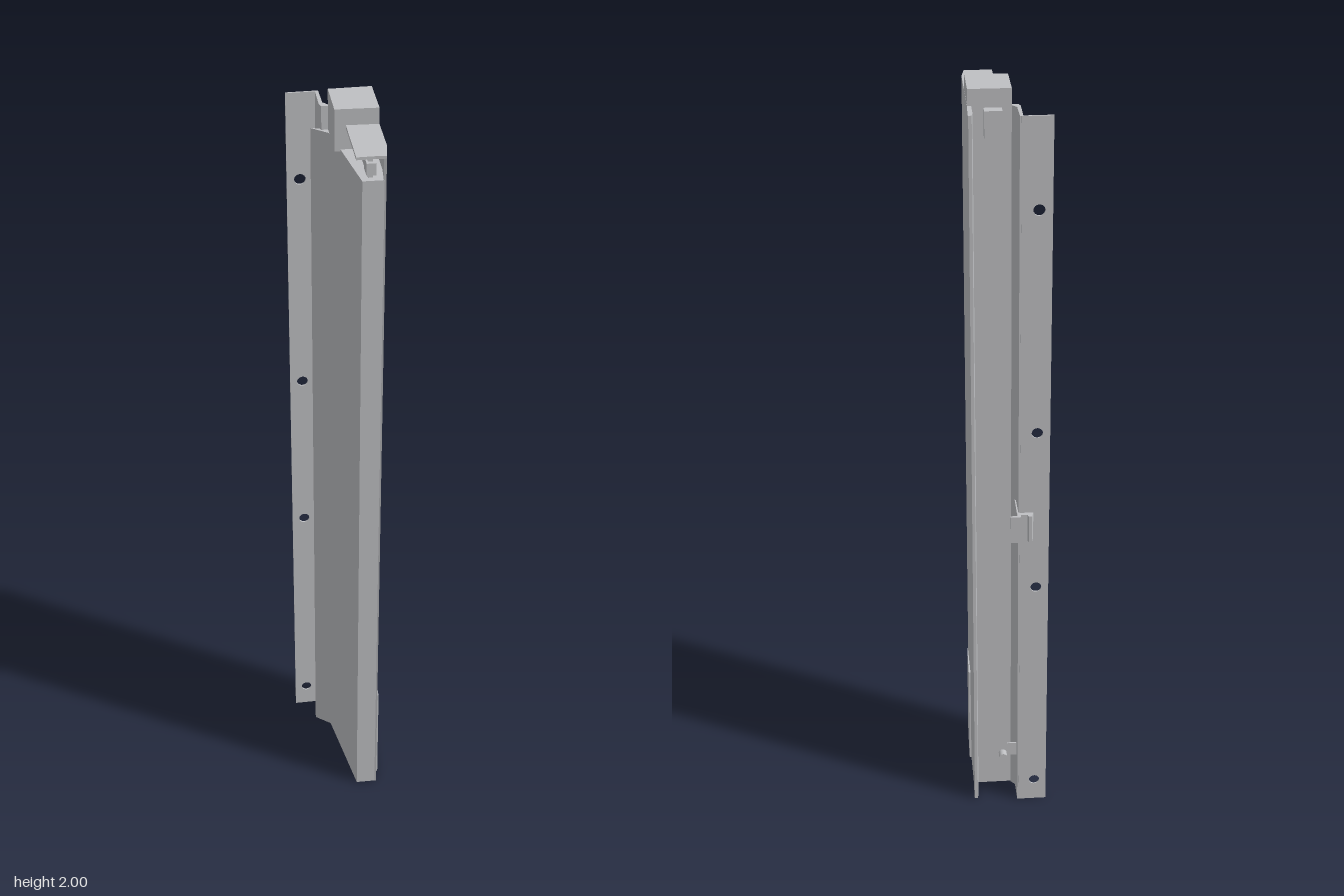
import * as THREE from 'three';

export function createModel() {
  const group = new THREE.Group();
  const grey = new THREE.MeshStandardMaterial({ color: 0xbfc0c3 });
  grey.name = 'plain grey';

  const add = (name, geometry) => {
    const mesh = new THREE.Mesh(geometry, grey);
    mesh.name = name;
    group.add(mesh);
    return mesh;
  };

  // Upright extrusion of a plan outline given as [x, z] points
  const upright = (name, plan, y0, y1) => {
    const shape = new THREE.Shape(plan.map(([x, z]) => new THREE.Vector2(x, -z)));
    const geo = new THREE.ExtrudeGeometry(shape, { depth: y1 - y0, bevelEnabled: false });
    geo.rotateX(-Math.PI / 2).translate(0, y0, 0);
    return add(name, geo);
  };

  // Box from its limits
  const box = (name, x0, x1, y0, y1, z0, z1) => {
    const geo = new THREE.BoxGeometry(x1 - x0, y1 - y0, z1 - z0);
    geo.translate((x0 + x1) / 2, (y0 + y1) / 2, (z0 + z1) / 2);
    return add(name, geo);
  };

  // Tapered hollow-section body, closed at both ends
  upright('body', [
    [0.03, 0.18], [0.08, 0.181], [0.086, 0.14], [0.086, -0.084],
    [-0.022, -0.084], [-0.011, -0.065], [0.005, 0.03],
  ], 0, 1.9);

  // Outer skin with a rear fin and folded hem
  upright('outerSkin', [
    [0.078, 0.18], [0.084, 0.182], [0.092, 0.135], [0.0925, -0.08], [0.095, -0.148],
    [0.094, -0.152], [0.086, -0.152], [0.083, -0.135], [0.083, 0.13],
  ], 0, 1.96);

  // Sealing lip along the inner rear corner
  upright('sealLip', [
    [-0.05, -0.093], [-0.011, -0.062], [-0.009, -0.08], [-0.03, -0.088],
  ], 0, 1.9);

  // Mounting rail: web plus drilled flange
  upright('railWeb', [
    [-0.03, -0.162], [-0.022, -0.162], [-0.021, -0.1], [-0.01, -0.087],
    [-0.01, -0.08], [-0.026, -0.08], [-0.03, -0.09],
  ], 0, 1.96);
  const flange = new THREE.Shape([
    [-0.1, 0], [-0.026, 0], [-0.026, 1.96], [-0.1, 1.96],
  ].map(([x, y]) => new THREE.Vector2(x, y)));
  for (const y of [0.065, 0.695, 1.147, 1.733]) {
    flange.holes.push(new THREE.Path().absarc(-0.068, y, 0.014, 0, Math.PI * 2, true));
  }
  const flangeGeo = new THREE.ExtrudeGeometry(flange, {
    depth: 0.004, bevelEnabled: false, curveSegments: 16,
  });
  add('railFlange', flangeGeo.translate(0, 0, -0.163));

  // Head block, rear step and front cap plate
  upright('headBlock', [
    [-0.01, 0.022], [0.092, 0.027], [0.092, -0.085], [-0.01, -0.085],
  ], 1.895, 2);
  box('headStep', 0.013, 0.055, 1.89, 1.955, -0.11, -0.084);
  upright('capPlate', [
    [0.016, 0.02], [0.016, 0.18], [0.06, 0.18], [0.084, 0.182], [0.091, 0.135], [0.091, 0.02],
  ], 1.953, 1.96);
  box('capSupport', 0.04, 0.062, 1.91, 1.94, 0.14, 0.175);
  box('capRib', 0.045, 0.056, 1.9, 1.954, 0.02, 0.165);

  // Small cover on the outer skin near the foot
  upright('footCover', [
    [0.089, 0.145], [0.094, 0.145], [0.097, 0.03], [0.09, 0.03],
  ], 0, 0.295);

  // Clip behind the rail, with its backing plate
  upright('clipHook', [
    [-0.06, -0.162], [-0.055, -0.183], [-0.047, -0.183], [-0.044, -0.174],
    [-0.027, -0.174], [-0.027, -0.184], [-0.001, -0.184], [-0.001, -0.178],
    [-0.019, -0.176], [-0.019, -0.162],
  ], 0.845, 0.92);
  box('clipPlate', -0.023, -0.018, 0.845, 0.92, -0.165, -0.086);

  // Locating tab and peg near the foot
  box('footTab', -0.023, 0.004, 0.13, 0.17, -0.133, -0.129);
  const peg = new THREE.CylinderGeometry(0.011, 0.011, 0.022, 16).rotateX(Math.PI / 2);
  add('footPeg', peg.translate(0.012, 0.1, -0.094));

  return group;
}
